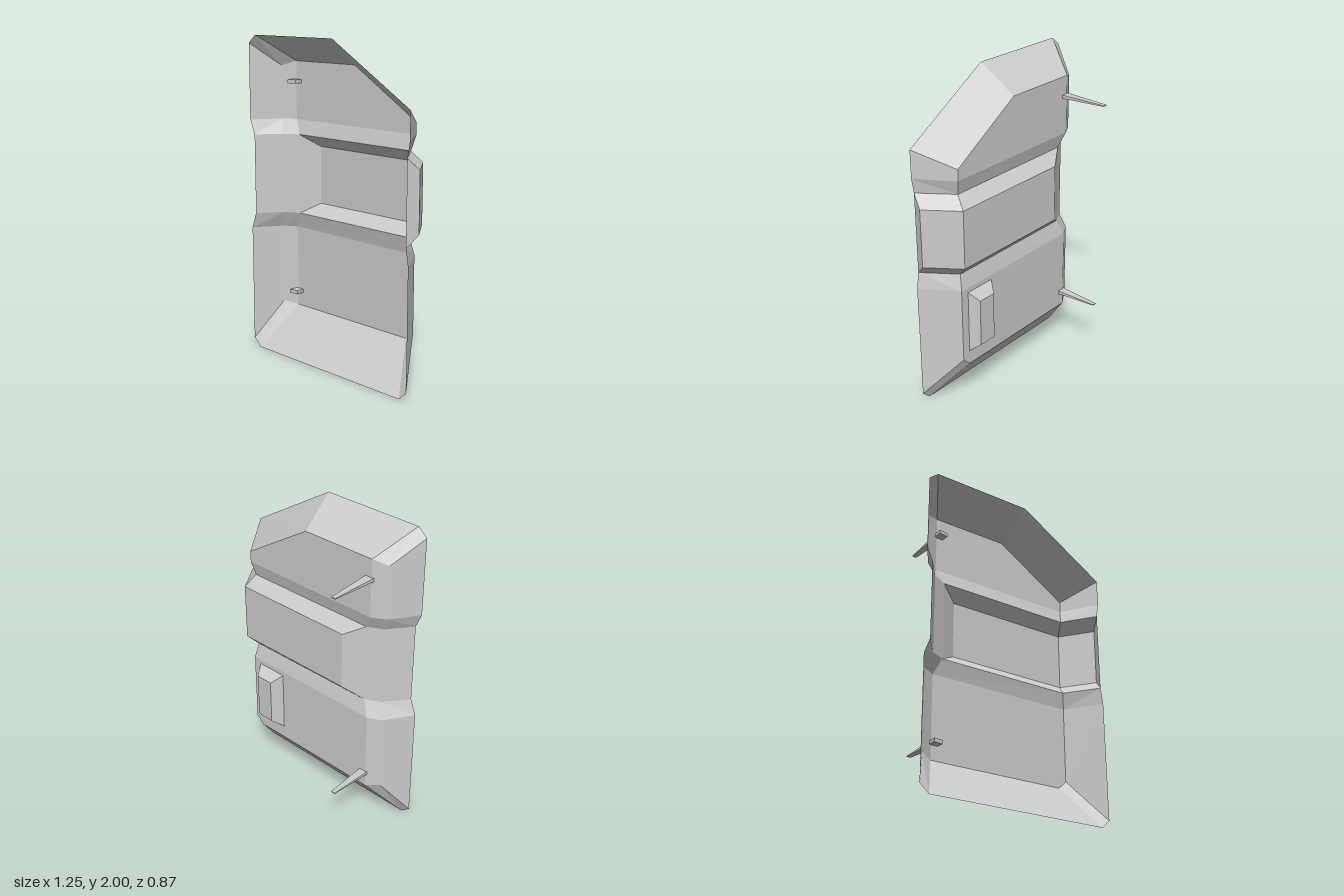
import * as THREE from 'three';

const material = new THREE.MeshStandardMaterial({ color: 0xcccccc, flatShading: true, side: THREE.DoubleSide });

// Skins a grid of points (rows of equal length) with flat facets, skipping collapsed ones.
function skin(rows) {
  const out = [];
  const tri = (...p) => {
    const [a, b, c] = p.map((q) => new THREE.Vector3(...q));
    if (b.clone().sub(a).cross(c.clone().sub(a)).length() > 1e-7) out.push(...p.flat());
  };
  for (let r = 0; r + 1 < rows.length; r++) {
    for (let i = 0; i + 1 < rows[r].length; i++) {
      const a = rows[r][i], b = rows[r][i + 1], c = rows[r + 1][i + 1], d = rows[r + 1][i];
      tri(a, c, b);
      tri(a, d, c);
    }
  }
  const geometry = new THREE.BufferGeometry();
  geometry.setAttribute('position', new THREE.Float32BufferAttribute(out, 3));
  geometry.computeVertexNormals();
  return geometry;
}

// Closed six-sided block between two four-cornered rings.
function block(start, end) {
  const ring = (p) => [...p, p[0]];
  const cap = (p) => Array(5).fill(p.reduce((s, q) => s.map((v, k) => v + q[k] / 4), [0, 0, 0]));
  return skin([cap(start), ring(start), ring(end), cap(end)]);
}

// Depth of the swung-open panel's rim and outer face at a given x.
const rim = (x) => -0.03 + (x + 0.625) * 0.382;
const face = (x) => -0.165 + (x + 0.37) * 0.378;
const onRim = (x, y) => [x, y, rim(x)];
const onFace = (x, y) => [x, y, face(x)];

// Horizontal sections of the shell: rim, left bevel, face, right corner, rim.
function plainRow(y) {
  const b = onFace(-0.37, y), d = onFace(0.53, y), e = onRim(0.58, y);
  return [onRim(-0.625, y), [-0.465, y, -0.15], b, b, d, d, e, e];
}
function waistRow(y) {
  const b = [-0.335, y, -0.125], d = [0.505, y, 0.19], e = [0.565, y, 0.425];
  return [onRim(-0.59, y), [-0.44, y, -0.112], b, b, d, d, e, e];
}
function ribRow(y) {
  const d = [0.56, y, 0.138];
  return [...waistRow(y).slice(0, 3), [-0.2, y, -0.15], d, d, [0.62, y, 0.37], [0.565, y, 0.425]];
}
function shellRows() {
  const bl = onRim(-0.57, 0), br = onRim(0.58, 0.05);
  const tl = onRim(-0.57, 2), tm = onRim(0.04, 2), tr = onRim(0.58, 1.65);
  const ib = onFace(-0.37, 0.27), im = onFace(0.09, 1.84);
  return [
    [onRim(-0.625, 0.05), bl, bl, bl, onRim(0.53, 0), br, br, br],
    [onRim(-0.625, 0.05), [-0.465, 0.29, -0.15], ib, ib, onFace(0.48, 0.27), onFace(0.53, 0.32), br, br],
    plainRow(0.79), waistRow(0.89), ribRow(0.96), ribRow(1.32), waistRow(1.39), plainRow(1.48),
    [onRim(-0.625, 1.95), [-0.465, 1.81, -0.15], onFace(-0.37, 1.84), im, im, onFace(0.53, 1.55), tr, tr],
    [onRim(-0.625, 1.95), tl, tl, tm, tm, tr, tr, tr],
  ];
}

export function createModel() {
  const group = new THREE.Group();
  const add = (name, geometry) => {
    const mesh = new THREE.Mesh(geometry, material);
    mesh.name = name;
    group.add(mesh);
  };

  // Open door shell with a raised rib across the middle
  add('doorShell', skin(shellRows()));

  // Tapered handle housing on the outer face
  add('handle', block(
    [onFace(0.29, 0.36), onFace(0.48, 0.36), onFace(0.48, 0.76), onFace(0.29, 0.76)],
    [[0.36, 0.41, 0.043], [0.47, 0.41, 0.086], [0.47, 0.71, 0.086], [0.36, 0.71, 0.043]],
  ));

  // Tapering hinge arms running through the panel
  for (const [name, y, tipZ] of [['upperHinge', 1.717, -0.43], ['lowerHinge', 0.37, -0.412]]) {
    const ring = (xl, zl, xr, zr, h) => [[xl, y - h, zl], [xr, y - h, zr], [xr, y + h, zr], [xl, y + h, zl]];
    add(name, block(
      ring(-0.405, -0.113, -0.345, -0.1, 0.012),
      ring(-0.27, tipZ - 0.005, -0.245, tipZ + 0.005, 0.003),
    ));
  }
  return group;
}
